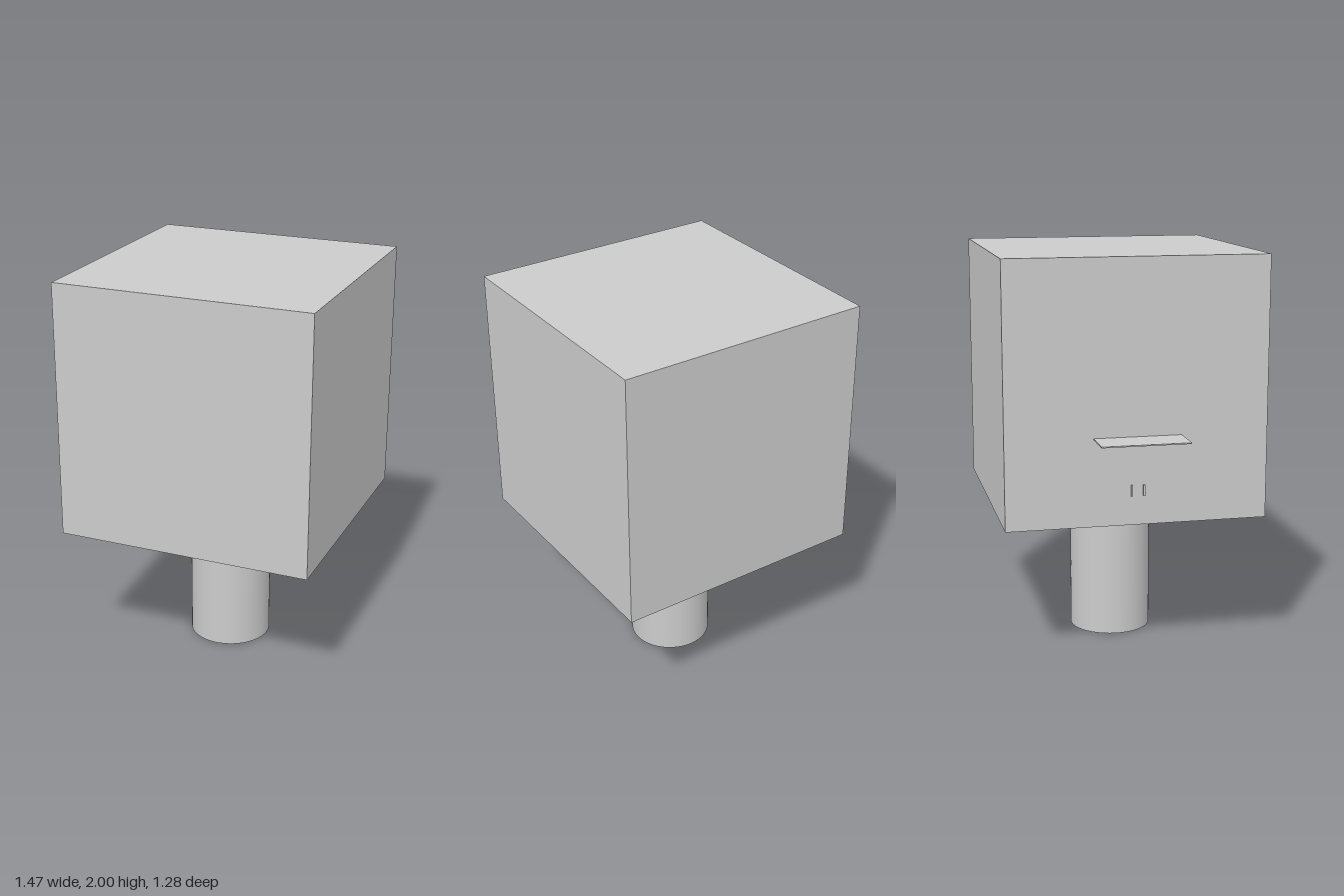
import * as THREE from 'three';

export function createModel() {
  const root = new THREE.Group();
  const mat = new THREE.MeshStandardMaterial({ color: 0xcccccc, side: THREE.DoubleSide });
  const CX = 0.0875, HALF = 0.6425, Y0 = 0.715, Y1 = 2, T = 0.008;
  const H = Y1 - Y0, MID = (Y0 + Y1) / 2;

  const add = (name, geo, x, y, z, parent = root) => {
    const m = new THREE.Mesh(geo, mat);
    m.name = name;
    m.position.set(x, y, z);
    parent.add(m);
    return m;
  };
  const box = (name, w, h, d, x, y, z, parent) =>
    add(name, new THREE.BoxGeometry(w, h, d), x, y, z, parent);

  // Sheet cabinet: four walls, each with an inner stiffening rib
  const cabinet = new THREE.Group();
  cabinet.name = 'cabinet';
  cabinet.position.x = CX;
  root.add(cabinet);
  for (const s of [-1, 1]) {
    box('sideWall', T, H, 2 * HALF, s * (HALF - T / 2), MID, 0, cabinet);
    box('endWall', 2 * (HALF - T), H, T, 0, MID, s * (HALF - T / 2), cabinet);
    for (const t of [-0.25, 0.25]) {
      box('sideRib', 0.03, H - 2 * T, 0.06, s * (HALF - T - 0.015), MID, t, cabinet);
      box('endRib', 0.06, H - 2 * T, 0.03, t, MID, s * (HALF - T - 0.015), cabinet);
    }
  }
  box('roof', 2 * (HALF - T), T, 2 * (HALF - T), 0, Y1 - T / 2, 0, cabinet);

  // Floor frame with a square opening
  const square = (shape, r) => {
    shape.moveTo(-r, -r).lineTo(r, -r).lineTo(r, r).lineTo(-r, r).closePath();
    return shape;
  };
  const floor = square(new THREE.Shape(), HALF - T);
  floor.holes.push(square(new THREE.Path(), 0.425));
  const floorGeo = new THREE.ExtrudeGeometry(floor, { depth: T, bevelEnabled: false });
  floorGeo.rotateX(-Math.PI / 2);
  add('floorFrame', floorGeo, 0, Y0, 0, cabinet);

  // Hollow duct and the wider sleeve around its upper end
  const tube = (name, rOut, rIn, y0, y1) => {
    const outer = new THREE.CylinderGeometry(rOut, rOut, y1 - y0, 64, 1, true);
    const inner = new THREE.CylinderGeometry(rIn, rIn, y1 - y0, 64, 1, true);
    const rim = new THREE.RingGeometry(rIn, rOut, 64).rotateX(Math.PI / 2);
    add(name, outer, CX, (y0 + y1) / 2, 0);
    add(name + 'Inside', inner, CX, (y0 + y1) / 2, 0);
    add(name + 'LowerRim', rim, CX, y0, 0);
    add(name + 'UpperRim', rim.clone().rotateX(Math.PI), CX, y1, 0);
  };
  tube('duct', 0.208, 0.203, 0, 0.9);
  tube('sleeve', 0.213, 0.208, 0.705, 1.15);

  // Rows of small screws around the duct and sleeve
  const screwGeo = new THREE.CylinderGeometry(0.007, 0.007, 0.008, 8).rotateZ(Math.PI / 2);
  for (const [y, r] of [[0.617, 0.208], [0.672, 0.208], [0.83, 0.213]]) {
    for (let i = 0; i < 8; i++) {
      const a = (i * Math.PI) / 4;
      const s = add('screw', screwGeo, CX + r * Math.cos(a), y, -r * Math.sin(a));
      s.rotation.y = a;
    }
  }

  // Thin ledge and the two small catches below it
  const wallX = CX - HALF;
  box('ledge', 0.18, 0.006, 0.43, wallX - 0.09, 1.145, 0);
  for (const s of [-1, 1]) {
    box('catch', 0.01, 0.055, 0.008, wallX - 0.005, 0.885, s * 0.03);
  }

  return root;
}
